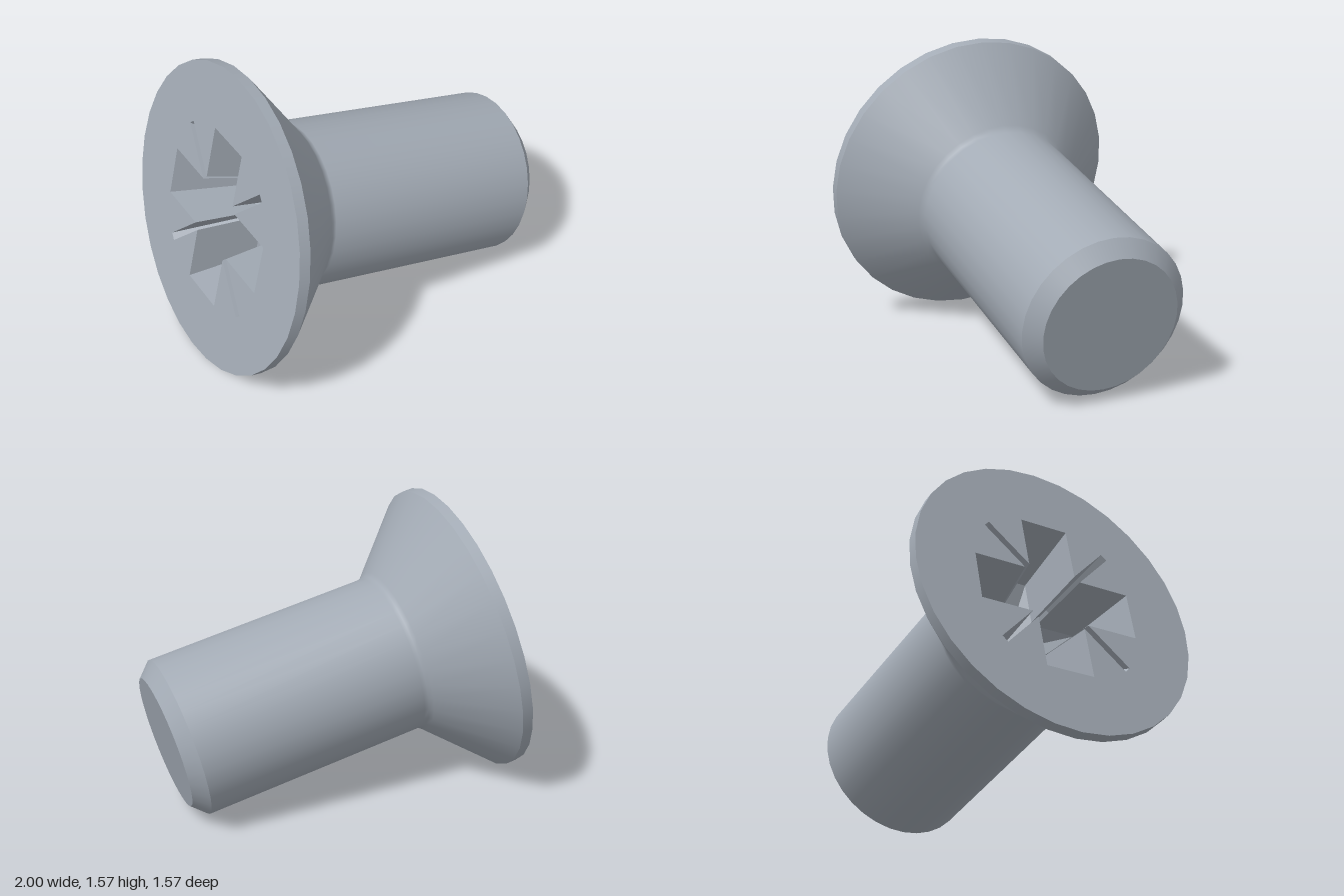
import * as THREE from 'three';

const SIDES = 32;
const HEAD_R = 0.795, SHAFT_R = 0.432, TIP_R = 0.358, LENGTH = 1.736;

// Outline of the drive recess: four wide wings with a thin slit between each pair.
function recessOutline(wingEnd, wingHalf, slitEnd, slitHalf) {
  const d = slitHalf * Math.SQRT1_2, s = slitEnd * Math.SQRT1_2;
  const quarter = [
    [wingEnd, -wingHalf], [wingEnd, wingHalf], [wingHalf + 2 * d, wingHalf],
    [s + d, s - d], [s - d, s + d], [wingHalf, wingHalf + 2 * d],
  ];
  const points = [];
  for (let k = 0; k < 4; k++) {
    for (const [x, y] of quarter) {
      points.push(new THREE.Vector2(x, y).rotateAround(new THREE.Vector2(), k * Math.PI / 2));
    }
  }
  return points;
}

// Sloping walls between two outlines, closed by a shallow conical floor.
function recessGeometry(top, bottom, depth, apexDepth) {
  const pos = [];
  const n = top.length;
  for (let i = 0; i < n; i++) {
    const j = (i + 1) % n;
    const a = [top[i].x, top[i].y, 0], b = [top[j].x, top[j].y, 0];
    const c = [bottom[i].x, bottom[i].y, -depth], d = [bottom[j].x, bottom[j].y, -depth];
    pos.push(...a, ...b, ...d, ...a, ...d, ...c);
    pos.push(...c, ...d, 0, 0, -apexDepth);
  }
  const g = new THREE.BufferGeometry();
  g.setAttribute('position', new THREE.Float32BufferAttribute(pos, 3));
  g.computeVertexNormals();
  return g;
}

export function createModel() {
  const steel = new THREE.MeshStandardMaterial({ color: 0xa3abb5, side: THREE.DoubleSide });
  steel.name = 'steel grey';

  const screw = new THREE.Group();
  screw.name = 'screw';
  const add = (name, geometry) => {
    const mesh = new THREE.Mesh(geometry, steel);
    mesh.name = name;
    screw.add(mesh);
    return mesh;
  };

  // Turned parts, given as [radius, depth below the head face], deepest first
  const turned = (name, profile) => add(name, new THREE.LatheGeometry(
    profile.map(([r, depth]) => new THREE.Vector2(r, -depth)), SIDES).rotateX(Math.PI / 2));

  turned('headRim', [[HEAD_R, 0.058], [HEAD_R, 0]]);
  turned('headConeAndShaft', [
    [SHAFT_R, LENGTH - 0.075], [SHAFT_R, 0.44], [0.438, 0.418], [0.455, 0.398], [HEAD_R, 0.058],
  ]);
  turned('tipChamfer', [[TIP_R, LENGTH], [SHAFT_R, LENGTH - 0.075]]);
  add('tipFace', new THREE.CircleGeometry(TIP_R, SIDES).rotateY(Math.PI).translate(0, 0, -LENGTH));

  // Head face with the recess cut out of it
  const opening = recessOutline(0.45, 0.135, 0.5, 0.02);
  const rim = [];
  for (let i = 0; i < SIDES; i++) {
    const t = i / SIDES * Math.PI * 2;
    rim.push(new THREE.Vector2(HEAD_R * Math.cos(t), HEAD_R * Math.sin(t)));
  }
  const face = new THREE.Shape(rim);
  face.holes.push(new THREE.Path(opening));
  add('headFace', new THREE.ShapeGeometry(face));
  add('driveRecess', recessGeometry(opening, recessOutline(0.36, 0.1, 0.31, 0.014), 0.36, 0.5));

  // Tilt: local z is the outward normal of the head face
  const normal = new THREE.Vector3(-1, 0.225, -0.215).normalize();
  const side = new THREE.Vector3(0, 1, 0).cross(normal).normalize();
  const up = normal.clone().cross(side);
  screw.quaternion.setFromRotationMatrix(new THREE.Matrix4().makeBasis(side, up, normal));
  screw.position.set(-0.765, 0.787, -0.006);

  const model = new THREE.Group();
  model.name = 'countersunkScrew';
  model.add(screw);
  return model;
}
